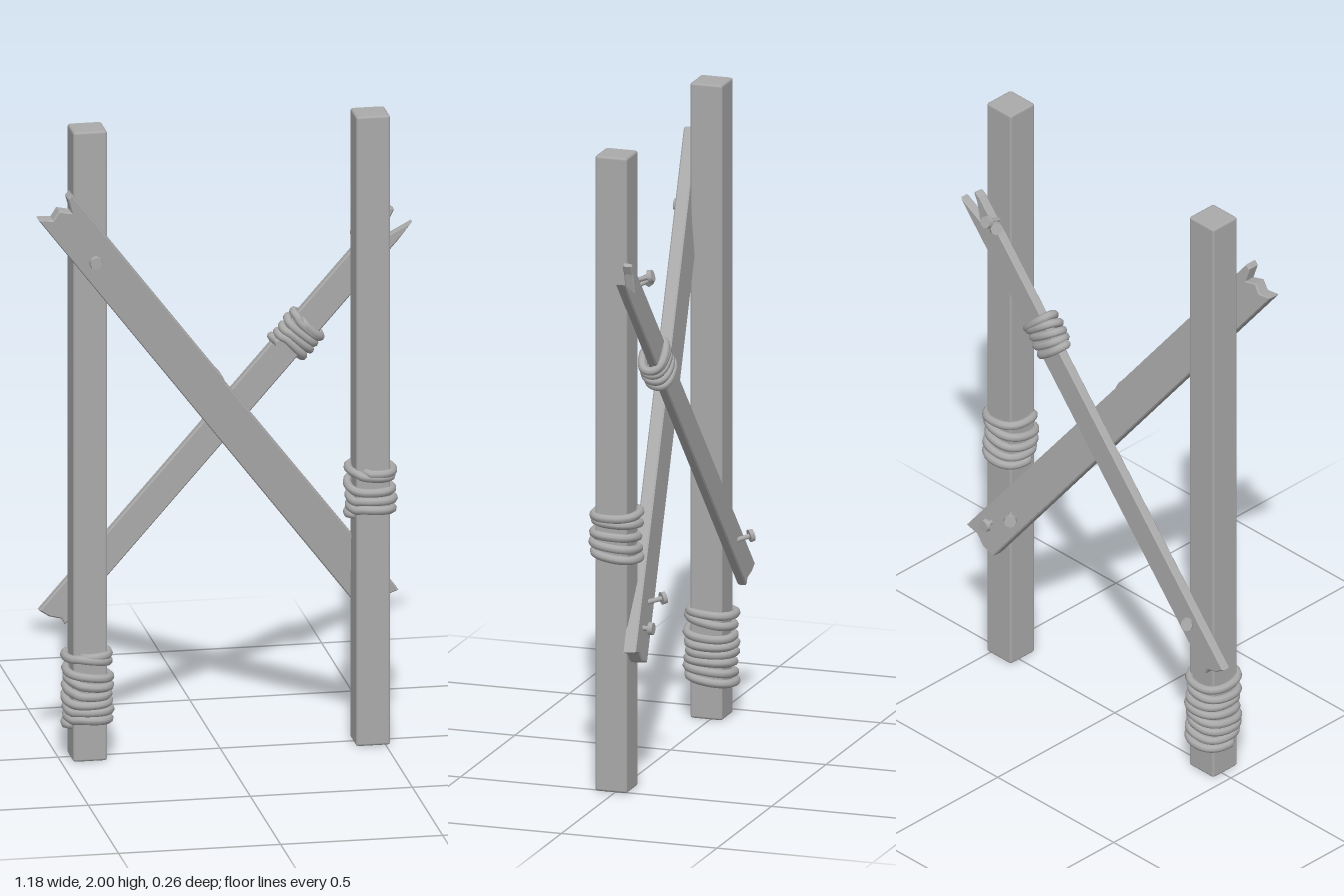
import * as THREE from 'three';
import { RoundedBoxGeometry } from 'three/addons/geometries/RoundedBoxGeometry.js';

const V = (x, y, z) => new THREE.Vector3(x, y, z);

export function createModel() {
  const grey = new THREE.MeshStandardMaterial({ color: 0xaaaaaa });
  const model = new THREE.Group();
  model.name = 'postsWithCrossedPlanks';

  function add(parent, name, geometry, x = 0, y = 0, z = 0) {
    const mesh = new THREE.Mesh(geometry, grey);
    mesh.name = name;
    mesh.position.set(x, y, z);
    parent.add(mesh);
    return mesh;
  }

  // Rope wound round the y axis; both ends are tucked into the wood
  function ropeGeometry(a, b, heights, radius, power) {
    const steps = 20, points = [];
    const last = (heights.length - 1) * steps;
    for (let i = 0; i <= last; i++) {
      const k = Math.min(Math.floor(i / steps), heights.length - 2);
      const t = i / steps - k;
      const angle = (i / steps) * Math.PI * 2 + 2.4;
      const c = Math.cos(angle), s = Math.sin(angle);
      const round = Math.pow(Math.abs(c) ** power + Math.abs(s) ** power, -1 / power);
      const tuck = i < 2 || i > last - 2 ? 0.75 : 1;
      const slack = (1 + 0.05 * Math.sin(i * 0.23)) * tuck;
      const y = THREE.MathUtils.lerp(heights[k], heights[k + 1], t) + 0.005 * Math.sin(angle + k);
      points.push(V(a * round * c * slack, y, b * round * s * slack));
    }
    return new THREE.TubeGeometry(new THREE.CatmullRomCurve3(points), last * 2, radius, 8);
  }

  // Plank cut from an outline: x runs from start to end, y across the width
  function plank(name, start, end, thickness, outline) {
    const group = new THREE.Group();
    group.name = name;
    const d = end.clone().sub(start);
    const length = d.length();
    d.normalize();
    const u = V(0, 0, 1).cross(d).normalize();
    group.quaternion.setFromRotationMatrix(new THREE.Matrix4().makeBasis(d, u, d.clone().cross(u)));
    group.position.copy(start);
    const shape = new THREE.Shape(outline(length).map(([x, y]) => new THREE.Vector2(x, y)));
    const bevel = 0.004;
    const geometry = new THREE.ExtrudeGeometry(shape, {
      depth: thickness - 2 * bevel, bevelThickness: bevel, bevelSize: bevel, bevelOffset: -bevel, bevelSegments: 1,
    });
    geometry.translate(0, 0, bevel - thickness / 2);
    add(group, name + 'Board', geometry);
    model.add(group);
    return group;
  }

  // Nail with its shaft sunk in at base and its flat head at tip
  function nail(name, base, tip) {
    const group = new THREE.Group();
    group.name = name;
    const d = tip.clone().sub(base);
    const length = d.length();
    group.position.copy(base);
    group.quaternion.setFromUnitVectors(V(0, 1, 0), d.normalize());
    add(group, 'nailShaft', new THREE.CylinderGeometry(0.008, 0.008, length, 8), 0, length / 2, 0);
    add(group, 'nailHead', new THREE.CylinderGeometry(0.019, 0.021, 0.014, 8), 0, length, 0);
    model.add(group);
  }

  // Upright posts
  for (const [name, x] of [['rightPost', -0.412], ['leftPost', 0.461]]) {
    add(model, name, new RoundedBoxGeometry(0.106, 2, 0.104, 1, 0.008), x, 1, 0.012);
  }

  // Front plank, splintered at its upper end and chipped near the middle
  plank('frontPlank', V(-0.533, 1.787, 0.105), V(0.507, 0.42, -0.062), 0.042, L => [
    [0, -0.064], [L - 0.02, -0.064], [L - 0.005, -0.02], [L - 0.015, 0.02], [L, 0.064],
    [0.82, 0.06], [0.79, 0.066], [0.77, 0.064],
    [0, 0.064], [0.004, 0.046], [0.05, 0.028], [0.018, 0.002], [0.03, -0.03],
  ]);

  // Back plank with a splintered upper end
  const back = plank('backPlank', V(-0.51, 0.425, -0.066), V(0.565, 1.65, -0.05), 0.03, L => [
    [0.01, -0.046], [L - 0.07, -0.046], [L + 0.005, -0.042], [L - 0.085, -0.008],
    [L - 0.03, 0.02], [L, 0.028], [L, 0.04], [L - 0.02, 0.046],
    [-0.005, 0.046], [0, 0.01], [0.018, -0.025],
  ]);

  // Rope bindings
  add(model, 'rightPostRope', ropeGeometry(0.065, 0.07,
    [0.107, 0.133, 0.162, 0.188, 0.217, 0.246, 0.273, 0.327, 0.33], 0.0135, 2.4), -0.412, 0, 0.012);
  add(model, 'leftPostRope', ropeGeometry(0.066, 0.067,
    [0.725, 0.75, 0.782, 0.815, 0.865, 0.87], 0.0135, 2.4), 0.461, 0, 0.012);
  const plankRope = add(back, 'plankRope', ropeGeometry(0.056, 0.034,
    [-0.05, -0.025, 0, 0.025, 0.05, 0.052], 0.0135, 2.4), 1.14, 0, 0.012);
  plankRope.rotation.z = -Math.PI / 2;

  // Nails
  nail('frontNail', V(-0.405, 1.6, 0.05), V(-0.405, 1.6, 0.121));
  nail('backLowerNail', V(-0.38, 0.56, -0.06), V(-0.422, 0.575, -0.112));
  nail('frontPlankLowerNail', V(0.46, 0.51, -0.04), V(0.46, 0.512, -0.1));
  nail('frontPlankUpperNail', V(0.395, 0.57, -0.05), V(0.35, 0.58, -0.1));
  nail('backPlankUpperNail', V(0.46, 1.6, -0.04), V(0.455, 1.62, -0.097));
  nail('backPlankTopNail', V(0.49, 1.58, -0.04), V(0.43, 1.6, -0.08));

  return model;
}
